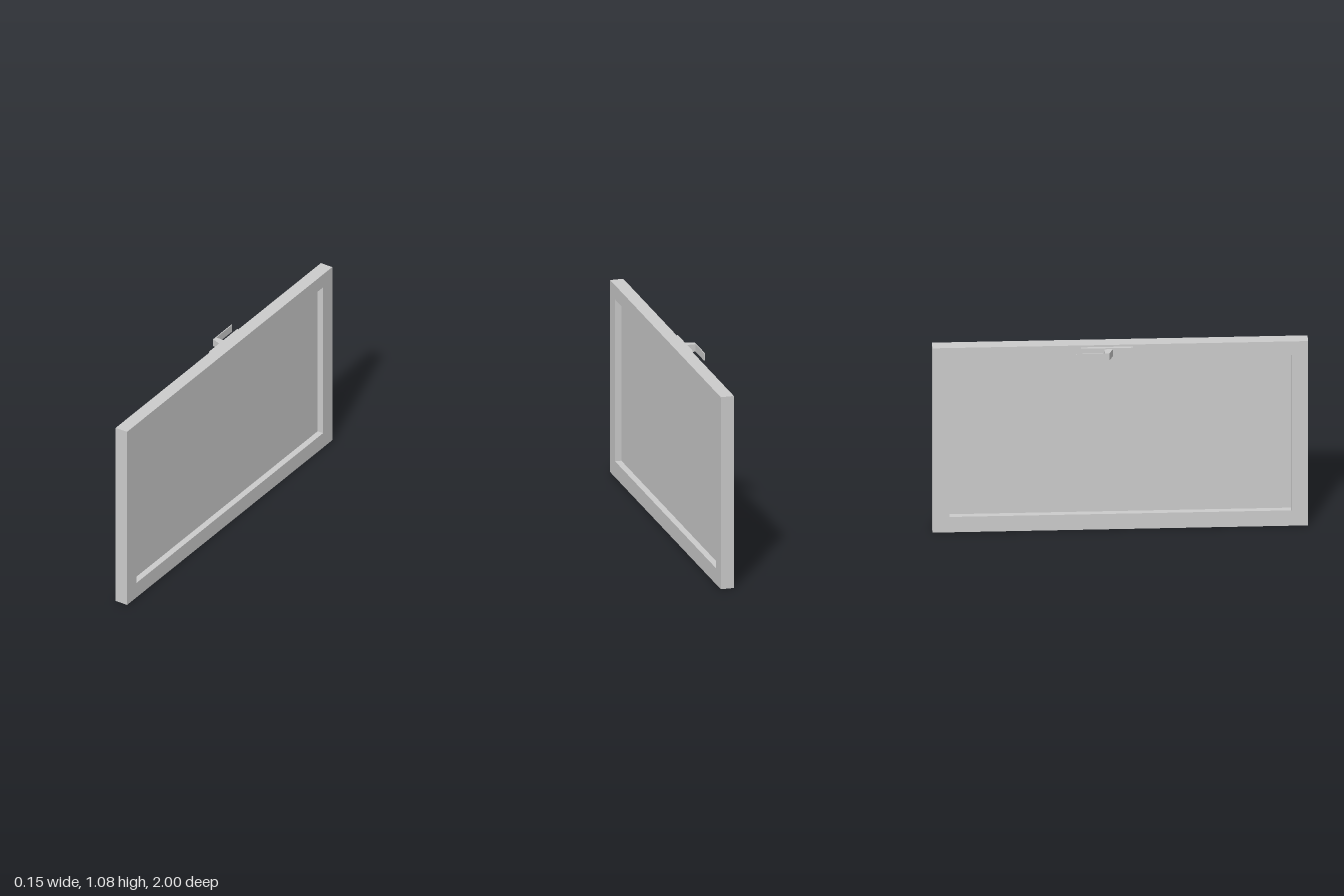
import * as THREE from 'three';

const material = new THREE.MeshStandardMaterial({ color: 0xcccccc, flatShading: true });
const points = (list) => list.map(([a, b]) => new THREE.Vector2(a, b));

function addPart(group, name, geometry) {
  const mesh = new THREE.Mesh(geometry, material);
  mesh.name = name;
  group.add(mesh);
  return mesh;
}

export function createModel() {
  const model = new THREE.Group();
  model.name = 'framedPanel';
  const thickness = 0.073;

  // Rectangular frame with an opening, drawn in the z-y plane and extruded along x
  const outline = new THREE.Shape(points([[-1, 0], [1, 0], [1, 1.08], [-1, 1.08]]));
  outline.holes.push(new THREE.Path(points([[-0.91, 0.09], [-0.91, 1], [0.91, 1], [0.91, 0.09]])));
  const frame = new THREE.ExtrudeGeometry(outline, { depth: thickness, bevelEnabled: false });
  frame.rotateY(Math.PI / 2);
  addPart(model, 'frame', frame);

  // Thin panel halfway through the frame, recessed on both sides
  addPart(model, 'panel', new THREE.BoxGeometry(0.003, 0.92, 1.83))
    .position.set(thickness / 2, 0.545, 0);

  // Latch: mounting plate and hooked handle near the top edge
  const latch = new THREE.Group();
  latch.name = 'latch';
  model.add(latch);
  addPart(latch, 'latchPlate', new THREE.BoxGeometry(0.017, 0.055, 0.276))
    .position.set(-0.0085, 1.0415, -0.072);

  const profile = new THREE.Shape(points([
    [-0.016, -0.04], [-0.073, -0.062], [-0.073, -0.24],
    [-0.068, -0.24], [-0.068, -0.085], [-0.016, -0.085],
  ]));
  const handle = new THREE.ExtrudeGeometry(profile, { depth: 0.042, bevelEnabled: false });
  handle.rotateX(Math.PI / 2);
  addPart(latch, 'latchHandle', handle).position.y = 1.063;

  return model;
}
